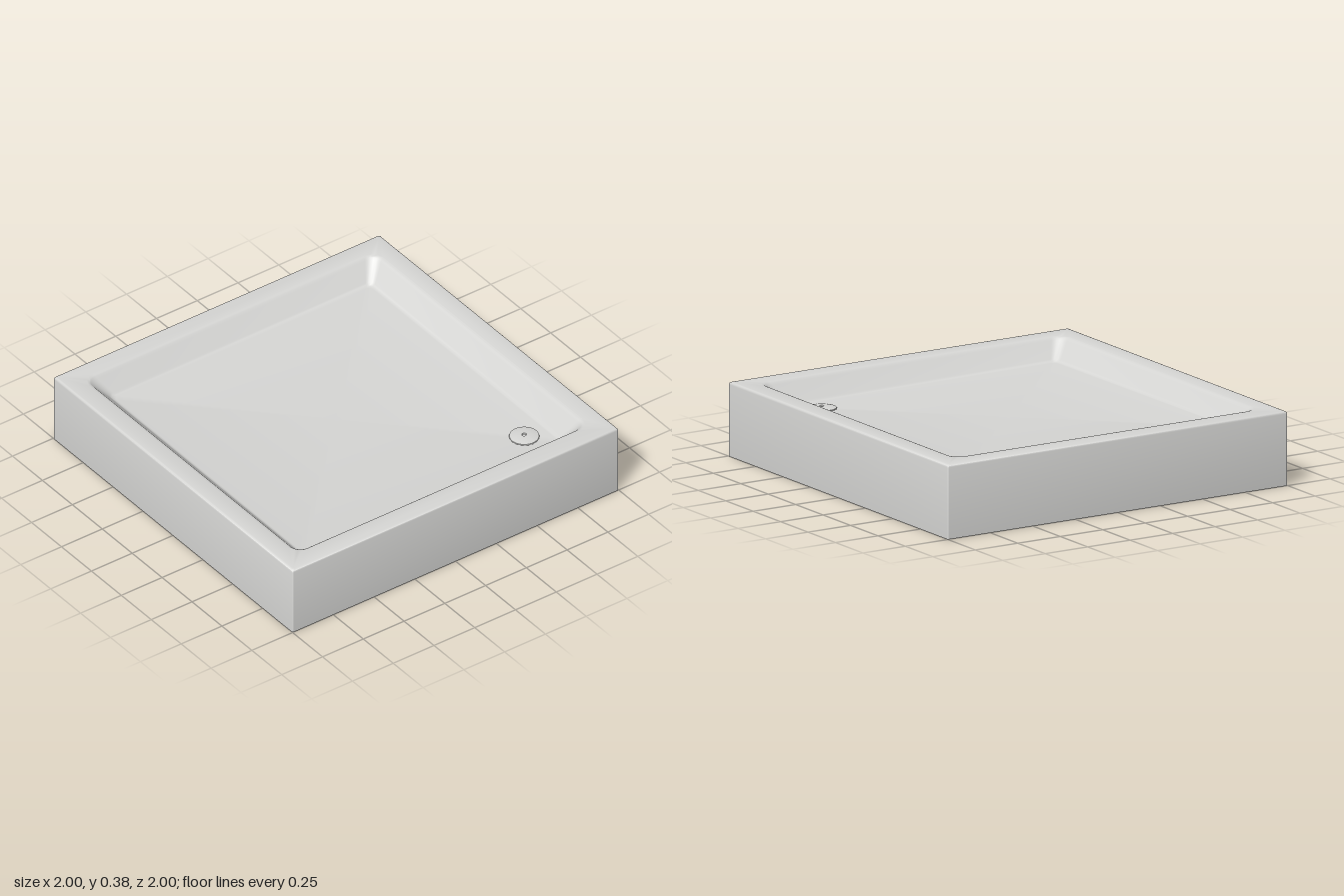
import * as THREE from 'three';
import { toCreasedNormals } from 'three/addons/utils/BufferGeometryUtils.js';

const CORNER_STEPS = 6;
const DRAIN = { x: 0.66, z: -0.67 };

// The floor falls gently towards the drain corner
const tilt = (x, z) => -0.005 * (x - z);

// Rounded square ring, counter-clockwise from above
function ring([half, radius, y, sloped]) {
  const points = [];
  for (let corner = 0; corner < 4; corner++) {
    const mid = Math.PI / 4 + corner * Math.PI / 2;
    const cx = Math.sign(Math.cos(mid)) * (half - radius);
    const cz = -Math.sign(Math.sin(mid)) * (half - radius);
    for (let i = 0; i <= CORNER_STEPS; i++) {
      const a = (corner + i / CORNER_STEPS) * Math.PI / 2;
      const x = cx + radius * Math.cos(a), z = cz - radius * Math.sin(a);
      points.push([x, y + (sloped ? tilt(x, z) : 0), z]);
    }
  }
  return points;
}

// Skin a list of rings
function loft(profile) {
  const rings = profile.map(ring), n = rings[0].length;
  const index = [];
  for (let i = 0; i < rings.length - 1; i++) {
    for (let j = 0; j < n; j++) {
      const k = (j + 1) % n;
      const a = i * n + j, b = i * n + k, c = a + n, d = b + n;
      index.push(a, b, d, a, d, c);
    }
  }
  const geometry = new THREE.BufferGeometry();
  geometry.setAttribute('position', new THREE.Float32BufferAttribute(rings.flat(2), 3));
  geometry.setIndex(index);
  return toCreasedNormals(geometry, 0.6);
}

export function createModel() {
  const model = new THREE.Group();
  model.name = 'showerTray';

  const glaze = new THREE.MeshStandardMaterial({ color: 0xd6d6d4 });
  glaze.name = 'lightGrey';
  const backing = new THREE.MeshStandardMaterial({ color: 0xd4ccb0 });
  backing.name = 'beigeBacking';

  const add = (name, geometry, material, x = 0, y = 0, z = 0) => {
    const mesh = new THREE.Mesh(geometry, material);
    mesh.name = name;
    mesh.position.set(x, y, z);
    model.add(mesh);
    return mesh;
  };

  // Skirt, rounded rim, sloping basin walls and floor: [half size, corner radius, y, sloped]
  add('trayShell', loft([
    [0.965, 0.004, 0],
    [1, 0.006, 0],
    [1, 0.006, 0.366],
    [0.998, 0.006, 0.373],
    [0.993, 0.006, 0.378],
    [0.986, 0.006, 0.38],
    [0.9, 0.07, 0.38],
    [0.891, 0.065, 0.378],
    [0.884, 0.06, 0.373],
    [0.876, 0.056, 0.364],
    [0.81, 0.035, 0.289, true],
    [0.803, 0.032, 0.282, true],
    [0.796, 0.03, 0.278, true],
    [0.786, 0.028, 0.276, true],
    [0.001, 0.0005, 0.276, true],
  ]), glaze);

  // Hidden side of the shell
  add('shellBacking', loft([
    [0.001, 0.0005, 0.155],
    [0.865, 0.004, 0.155],
    [0.9, 0.004, 0.345],
    [0.965, 0.004, 0.345],
    [0.965, 0.004, 0],
  ]), backing);

  // Base block with a round cut-out for the drain
  const h = 0.865, r = 0.33, cx = DRAIN.x, cy = -DRAIN.z;
  const start = -Math.acos((h - cx) / r);
  const end = Math.PI - Math.asin((h - cy) / r);
  const outline = new THREE.Shape();
  outline.moveTo(-h, -h);
  outline.lineTo(h, -h);
  outline.lineTo(h, cy + r * Math.sin(start));
  outline.absarc(cx, cy, r, start, end, true);
  outline.lineTo(-h, h);
  outline.closePath();
  const block = new THREE.ExtrudeGeometry(outline, { depth: 0.154, bevelEnabled: false, curveSegments: 40 });
  block.rotateX(-Math.PI / 2);
  add('baseBlock', toCreasedNormals(block, 0.6), glaze);

  // Drain outlet seen from underneath
  add('drainOutlet', new THREE.CylinderGeometry(0.09, 0.09, 0.008, 32), backing, DRAIN.x, 0.152, DRAIN.z);

  // Domed drain cover with a small centre hole, standing on short feet
  const floorY = 0.276 + tilt(DRAIN.x, DRAIN.z);
  const dome = [[0.07, 0.003], [0.075, 0.004], [0.074, 0.007], [0.06, 0.01], [0.035, 0.013], [0.012, 0.014], [0.01, 0.008], [0, 0.008]]
    .map(([x, y]) => new THREE.Vector2(x, y));
  add('drainCover', toCreasedNormals(new THREE.LatheGeometry(dome, 40), 0.6), glaze, DRAIN.x, floorY, DRAIN.z);
  for (let i = 0; i < 16; i++) {
    const a = i * Math.PI / 8;
    const foot = add('drainFoot', new THREE.BoxGeometry(0.006, 0.006, 0.012), glaze,
      DRAIN.x + 0.071 * Math.cos(a), floorY + 0.002, DRAIN.z - 0.071 * Math.sin(a));
    foot.rotation.y = a;
  }

  return model;
}
